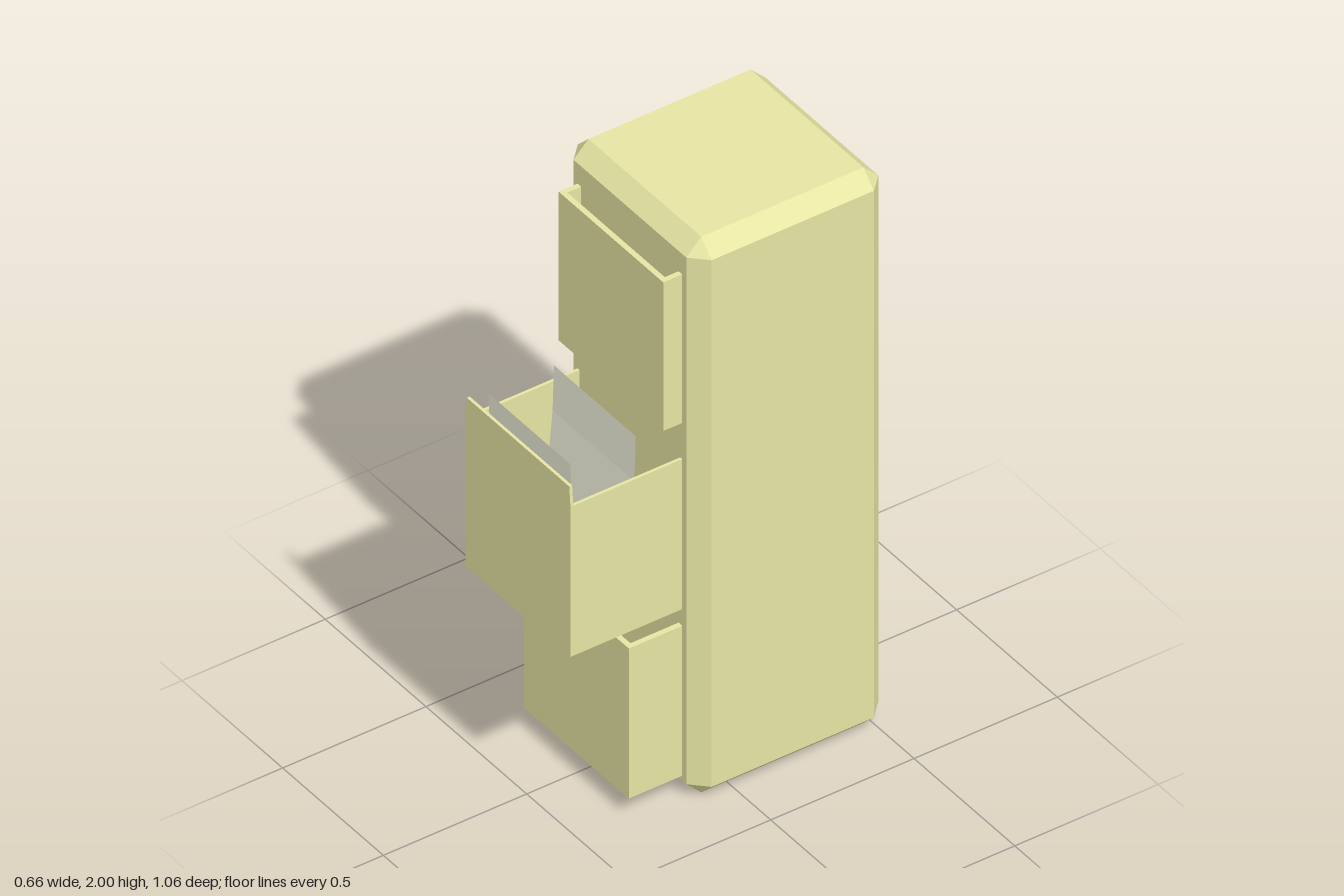
import * as THREE from 'three';
import { ConvexGeometry } from 'three/addons/geometries/ConvexGeometry.js';

const paint = new THREE.MeshStandardMaterial({ color: 0xe6e5a3, flatShading: true });
const paper = new THREE.MeshStandardMaterial({ color: 0xf0f0dc, flatShading: true, side: THREE.DoubleSide });

function addMesh(parent, name, geometry, material = paint) {
  const mesh = new THREE.Mesh(geometry, material);
  mesh.name = name;
  parent.add(mesh);
  return mesh;
}

function addBox(parent, name, x0, x1, y0, y1, z0, z1) {
  const box = addMesh(parent, name, new THREE.BoxGeometry(x1 - x0, y1 - y0, z1 - z0));
  box.position.set((x0 + x1) / 2, (y0 + y1) / 2, (z0 + z1) / 2);
}

// Box with every edge and corner cut off by c
function chamferedBox(w, h, d, c) {
  const points = [];
  for (const sx of [-1, 1]) for (const sy of [-1, 1]) for (const sz of [-1, 1]) {
    const x = w / 2, y = h / 2, z = d / 2;
    points.push(
      new THREE.Vector3(sx * x, sy * (y - c), sz * (z - c)),
      new THREE.Vector3(sx * (x - c), sy * y, sz * (z - c)),
      new THREE.Vector3(sx * (x - c), sy * (y - c), sz * z));
  }
  return new ConvexGeometry(points);
}

// Open-topped drawer standing out from the cabinet face
const FACE = 0.14, HALF = 0.26;
function addDrawer(parent, name, y0, y1, front, t) {
  const drawer = new THREE.Group();
  drawer.name = name;
  addBox(drawer, 'drawerFloor', -HALF + t, HALF - t, y0, y0 + 0.02, FACE - 0.01, front - t);
  addBox(drawer, 'drawerFront', -HALF, HALF, y0, y1, front - t, front);
  for (const s of [-1, 1]) {
    const a = s * HALF, b = s * (HALF - t);
    addBox(drawer, s > 0 ? 'leftWall' : 'rightWall', Math.min(a, b), Math.max(a, b), y0, y1, FACE - 0.01, front - t);
  }
  parent.add(drawer);
  return drawer;
}

export function createModel() {
  const model = new THREE.Group();
  model.name = 'filingCabinet';

  // Cabinet body
  const body = addMesh(model, 'cabinetBody', chamferedBox(0.664, 2, 0.67, 0.052));
  body.position.set(0, 1, -0.195);

  // Drawers, each pulled out by a different amount
  addDrawer(model, 'topDrawer', 1.34, 1.875, 0.206, 0.018);
  addDrawer(model, 'bottomDrawer', 0.07, 0.61, 0.326, 0.018);
  const middle = addDrawer(model, 'middleDrawer', 0.67, 1.21, 0.53, 0.01);

  // Raised lip of the middle drawer front, narrowing slightly upwards
  const lip = new THREE.Shape([[-0.26, 1.21], [0.26, 1.21], [0.254, 1.28], [-0.254, 1.28]]
    .map(([x, y]) => new THREE.Vector2(x, y)));
  addMesh(middle, 'frontLip', new THREE.ExtrudeGeometry(lip, { depth: 0.01, bevelEnabled: false }))
    .position.z = 0.52;

  // Hanging folder: a sheet folded into a trough, as [z, y] points
  const fold = [[0.262, 1.31], [0.267, 1.15], [0.295, 0.83], [0.375, 0.77], [0.455, 0.83], [0.485, 1.15], [0.49, 1.31]];
  const folder = new THREE.PlaneGeometry(0.406, 1, 1, fold.length - 1);
  const pos = folder.attributes.position;
  for (let i = 0; i < pos.count; i++) {
    const [z, y] = fold[Math.floor(i / 2)];
    pos.setY(i, y);
    pos.setZ(i, z);
  }
  folder.computeVertexNormals();
  addMesh(middle, 'hangingFolder', folder, paper);

  return model;
}
